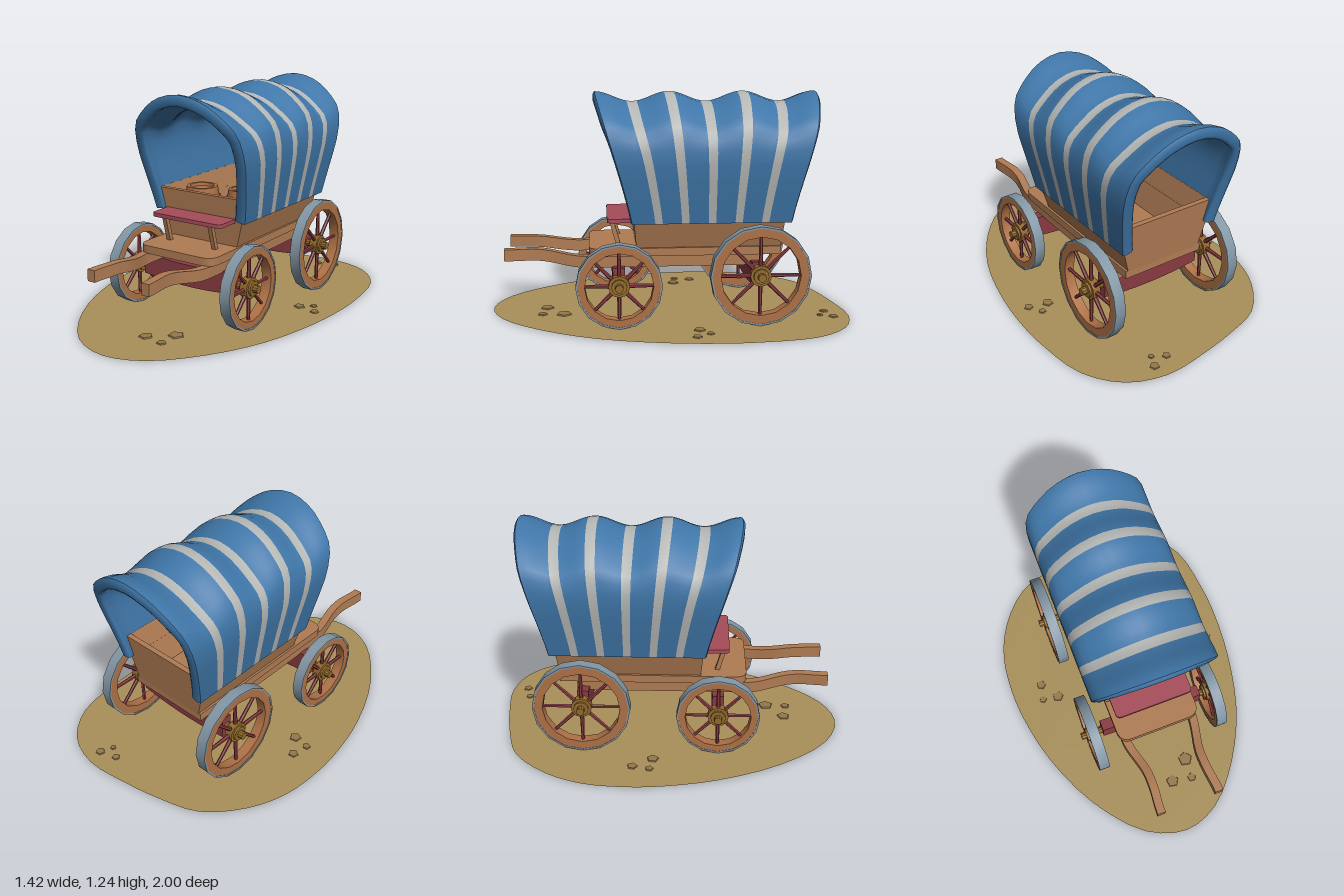
import * as THREE from 'three';
import { toCreasedNormals } from 'three/addons/utils/BufferGeometryUtils.js';

const CX = 0.034; // the wagon stands slightly off the middle of the ground patch
const mat = (color) => new THREE.MeshStandardMaterial({ color, side: THREE.DoubleSide });
const M = {
  canvas: mat(0x3f76a8), stripe: mat(0xb4b6b4), wood: mat(0xb07c54), rim: mat(0xae7146),
  red: mat(0x8a3b42), seat: mat(0xa64c5a), iron: mat(0x8296a4), brass: mat(0x936a2c),
  ground: mat(0xa9905a), pebble: mat(0x94794c),
};

function add(parent, name, geo, material, x = 0, y = 0, z = 0, smooth = false) {
  const mesh = new THREE.Mesh(smooth ? geo : toCreasedNormals(geo, 0.5), material);
  mesh.name = name;
  mesh.position.set(x, y, z);
  parent.add(mesh);
  return mesh;
}

// Moves every vertex of a geometry by a rule
function bend(geo, rule) {
  const p = geo.attributes.position, v = new THREE.Vector3();
  for (let i = 0; i < p.count; i++) {
    rule(v.fromBufferAttribute(p, i));
    p.setXYZ(i, v.x, v.y, v.z);
  }
  geo.computeVertexNormals();
  return geo;
}

// Smooth surface from a grid of points fn(u, v)
function grid(fn, nu, nv) {
  const pos = [], idx = [];
  for (let j = 0; j <= nv; j++) for (let i = 0; i <= nu; i++) pos.push(...fn(i / nu, j / nv));
  for (let j = 0; j < nv; j++) for (let i = 0; i < nu; i++) {
    const a = j * (nu + 1) + i, b = a + 1, c = a + nu + 1, d = c + 1;
    idx.push(a, b, c, b, d, c);
  }
  const g = new THREE.BufferGeometry();
  g.setAttribute('position', new THREE.Float32BufferAttribute(pos, 3));
  g.setIndex(idx);
  g.computeVertexNormals();
  return g;
}

// Canvas hoop cross-section, mirrored
const half = [[0.3, 0.55], [0.33, 0.72], [0.355, 0.9], [0.335, 1.05], [0.25, 1.145], [0.14, 1.215]];
const hoop = new THREE.SplineCurve([
  ...half.map(([x, y]) => new THREE.Vector2(-x, y)), new THREE.Vector2(0, 1.245),
  ...half.slice().reverse().map(([x, y]) => new THREE.Vector2(x, y)),
]);

// s runs across the hoop, t from front to back, off is the depth inside the outer skin
function canvasPoint(s, t, off) {
  const p = hoop.getPoint(s), d = hoop.getTangent(s);
  const h = Math.max(0, (p.y - 0.55) / 0.695);
  const z = THREE.MathUtils.lerp(0.21 - 0.865 * t, 0.405 - 1.235 * t, Math.pow(h, 1.15));
  const sag = 0.0275 * (1 - Math.cos(6 * Math.PI * t)) * THREE.MathUtils.smoothstep(p.y, 0.85, 1.2);
  return [p.x + d.y * off, p.y - d.x * off - sag, z];
}

function buildCanopy() {
  const g = new THREE.Group();
  g.name = 'canopy';
  // alternating blue and pale bands
  const w = 0.023, edges = [0];
  for (let k = 1; k <= 5; k++) edges.push(k / 6 - w, k / 6 + w);
  edges.push(1);
  for (let k = 0; k < edges.length - 1; k++) {
    const [a, b] = [edges[k], edges[k + 1]];
    add(g, k % 2 ? 'canopyStripe' : 'canopyPanel',
      grid((u, v) => canvasPoint(u, a + (b - a) * v, 0), 26, k % 2 ? 3 : 7), k % 2 ? M.stripe : M.canvas, 0, 0, 0, true);
  }
  // lining with a rounded lip at both ends
  const path = [[1, 0], [1.008, 0.015], [1.008, 0.045], [1, 0.062], [0.975, 0.058]];
  for (let i = 0; i <= 24; i++) path.push([0.95 - 0.9 * i / 24, 0.045]);
  path.push([0.025, 0.058], [0, 0.062], [-0.008, 0.045], [-0.008, 0.015], [0, 0]);
  const n = path.length - 1;
  add(g, 'canopyLining', grid((u, v) => canvasPoint(u, ...path[Math.round(v * n)]), 26, n), M.canvas, 0, 0, 0, true);
  for (const s of [0, 1])
    add(g, 'canopyHem', grid((u, v) => canvasPoint(s, v, 0.055 * u), 1, 12), M.canvas, 0, 0, 0, true);
  return g;
}

// Ring with a rectangular section, turned about the x axis
function ring(rIn, rOut, width, sides) {
  const a = width / 2;
  const pts = [[rIn, -a], [rOut, -a], [rOut, a], [rIn, a], [rIn, -a]].map((p) => new THREE.Vector2(...p));
  return new THREE.LatheGeometry(pts, sides).rotateZ(Math.PI / 2).toNonIndexed();
}
const rod = (r, len, sides = 12) => new THREE.CylinderGeometry(r, r, len, sides).rotateZ(Math.PI / 2);

function buildWheel(name, r) {
  const g = new THREE.Group();
  g.name = name;
  const inner = r * 0.79;
  const flat = (n, geo, m) => { geo.computeVertexNormals(); return add(g, n, geo, m); };
  flat('tyre', ring(r - 0.01, r, 0.063, 16), M.iron);
  flat('rim', ring(inner, r - 0.009, 0.058, 16), M.rim);
  for (let i = 0; i < 8; i++) {
    const spoke = new THREE.CylinderGeometry(0.009, 0.013, inner, 6).translate(0, inner / 2, 0);
    add(g, 'spoke', spoke.rotateX(i * Math.PI / 4), M.red);
  }
  add(g, 'hub', rod(0.042, 0.07), M.brass);
  flat('hubRing', ring(0.04, 0.058, 0.045, 12), M.brass);
  add(g, 'hubCap', rod(0.022, 0.13, 10), M.brass);
  return g;
}

function buildBarrel(r, h) {
  const g = new THREE.Group();
  g.name = 'barrel';
  const pts = [[0, 0], [r * 0.8, 0], [r * 0.95, h * 0.25], [r, h * 0.5], [r * 0.95, h * 0.75], [r * 0.84, h],
    [r * 0.66, h], [r * 0.64, h - 0.018], [0, h - 0.018]].map((p) => new THREE.Vector2(...p));
  add(g, 'barrelBody', new THREE.LatheGeometry(pts, 14), M.rim);
  for (const [y, k] of [[0.25, 0.96], [0.78, 0.95]])
    add(g, 'barrelBand', new THREE.CylinderGeometry(r * k + 0.004, r * k + 0.004, 0.025, 14, 1, true), M.iron, 0, h * y, 0);
  return g;
}

// Flat board lying in xz with rounded front corners
function board(hw, zBack, zFront, radius, thick) {
  const s = new THREE.Shape();
  s.moveTo(-hw, -zBack);
  s.lineTo(-hw, -zFront + radius);
  s.quadraticCurveTo(-hw, -zFront, -hw + radius, -zFront);
  s.lineTo(hw - radius, -zFront);
  s.quadraticCurveTo(hw, -zFront, hw, -zFront + radius);
  s.lineTo(hw, -zBack);
  return new THREE.ExtrudeGeometry(s, { depth: thick, bevelEnabled: false, curveSegments: 6 }).rotateX(-Math.PI / 2);
}

function buildBody() {
  const g = new THREE.Group();
  g.name = 'body';
  // open box flaring upwards
  const rect = (P, x, z) => new P([[-x, -z], [x, -z], [x, z], [-x, z]].map((p) => new THREE.Vector2(...p)));
  const shape = rect(THREE.Shape, 0.232, 0.398);
  shape.holes.push(rect(THREE.Path, 0.207, 0.37));
  const box = new THREE.ExtrudeGeometry(shape, { depth: 0.28, bevelEnabled: false }).rotateX(-Math.PI / 2);
  add(g, 'bedBox', bend(box, (v) => { v.x *= 1 + 1.2 * v.y; v.z *= 1 + 0.22 * v.y; }), M.wood, 0, 0.4, -0.212);
  add(g, 'platform', board(0.247, -0.61, 0.445, 0.07, 0.045), M.wood, 0, 0.362, 0);
  add(g, 'seat', board(0.23, 0.2, 0.345, 0.03, 0.022), M.seat, 0, 0.545, 0);
  for (const side of [-1, 1]) {
    const post = bend(new THREE.BoxGeometry(0.026, 0.15, 0.026), (v) => { v.z += v.y * 0.28; });
    add(g, 'seatPost', post, M.wood, side * 0.153, 0.475, 0.3);
    // shaft: straight rail under the bed, curving up and inwards ahead of it
    const shaft = bend(new THREE.BoxGeometry(0.048, 0.064, 1.42, 1, 1, 48), (v) => {
      v.z += 0.195;
      const k = THREE.MathUtils.smoothstep(v.z, 0.48, 0.76);
      const m = THREE.MathUtils.smoothstep(v.z, 0.42, 0.68);
      v.y += 0.332 + 0.036 * k;
      v.x += side * (0.208 - 0.046 * m + 0.014 * THREE.MathUtils.smoothstep(v.z, 0.72, 0.9));
    });
    add(g, 'shaft', shaft, M.wood);
  }
  const barrels = [[-0.08, 0.07, 0.105, 0.285], [0.12, -0.04, 0.095, 0.27]];
  for (const [x, z, r, h] of barrels) {
    const b = buildBarrel(r, h);
    b.position.set(x, 0.402, z);
    g.add(b);
  }
  return g;
}

function buildAxle(name, y, z, r, boardY) {
  const g = new THREE.Group();
  g.name = name;
  add(g, 'axleRod', rod(0.022, 0.87, 10), M.brass, 0, y, z);
  const beam = bend(new THREE.BoxGeometry(0.62, 0.125, 0.065, 14, 1, 1), (v) => { v.y -= 0.022 * (1 - (v.x / 0.31) ** 2); });
  add(g, 'axleBeam', beam, M.red, 0, boardY, z);
  for (const side of [-1, 1]) {
    const wheel = buildWheel(side > 0 ? 'leftWheel' : 'rightWheel', r);
    wheel.position.set(side * 0.375, y, z);
    g.add(wheel);
  }
  return g;
}

function buildGround() {
  const g = new THREE.Group();
  g.name = 'groundPatch';
  const outline = [[0.29, -1], [0.505, -0.925], [0.65, -0.74], [0.7, -0.45], [0.705, -0.24], [0.675, 0.05], [0.585, 0.4],
    [0.425, 0.7], [0.215, 0.925], [0, 0.997], [-0.235, 0.915], [-0.475, 0.635], [-0.63, 0.29], [-0.695, 0],
    [-0.71, -0.21], [-0.685, -0.45], [-0.595, -0.66], [-0.42, -0.85], [-0.21, -0.925], [0.03, -0.975]];
  const curve = new THREE.CatmullRomCurve3(outline.map(([x, z]) => new THREE.Vector3(x, -z, 0)), true);
  const shape = new THREE.Shape(curve.getPoints(60).slice(0, -1).map((p) => new THREE.Vector2(p.x, p.y)));
  add(g, 'soil', new THREE.ShapeGeometry(shape).rotateX(-Math.PI / 2), M.ground, 0, 0.004, 0);
  const pebbles = [[0.21, -0.88, 0.024], [0.31, -0.91, 0.028], [0.28, -0.84, 0.018], [-0.52, -0.185, 0.03], [-0.54, -0.09, 0.024],
    [-0.445, -0.075, 0.035], [0.485, -0.14, 0.033], [0.55, -0.19, 0.022], [0.595, -0.115, 0.027], [0.155, 0.59, 0.045],
    [0.03, 0.69, 0.039], [0.15, 0.71, 0.028]];
  pebbles.forEach(([x, z, r], i) => {
    add(g, 'pebble', new THREE.CylinderGeometry(r * 0.92, r, 0.008, 5).rotateY(i * 1.3), M.pebble, x, 0.007, z);
  });
  return g;
}

export function createModel() {
  const model = new THREE.Group();
  model.name = 'coveredWagon';
  const wagon = new THREE.Group();
  wagon.name = 'wagon';
  wagon.position.x = CX;
  wagon.add(buildCanopy(), buildBody(),
    buildAxle('frontAxle', 0.234, 0.285, 0.232, 0.253), buildAxle('rearAxle', 0.277, -0.475, 0.274, 0.272));
  model.add(buildGround(), wagon);
  return model;
}
